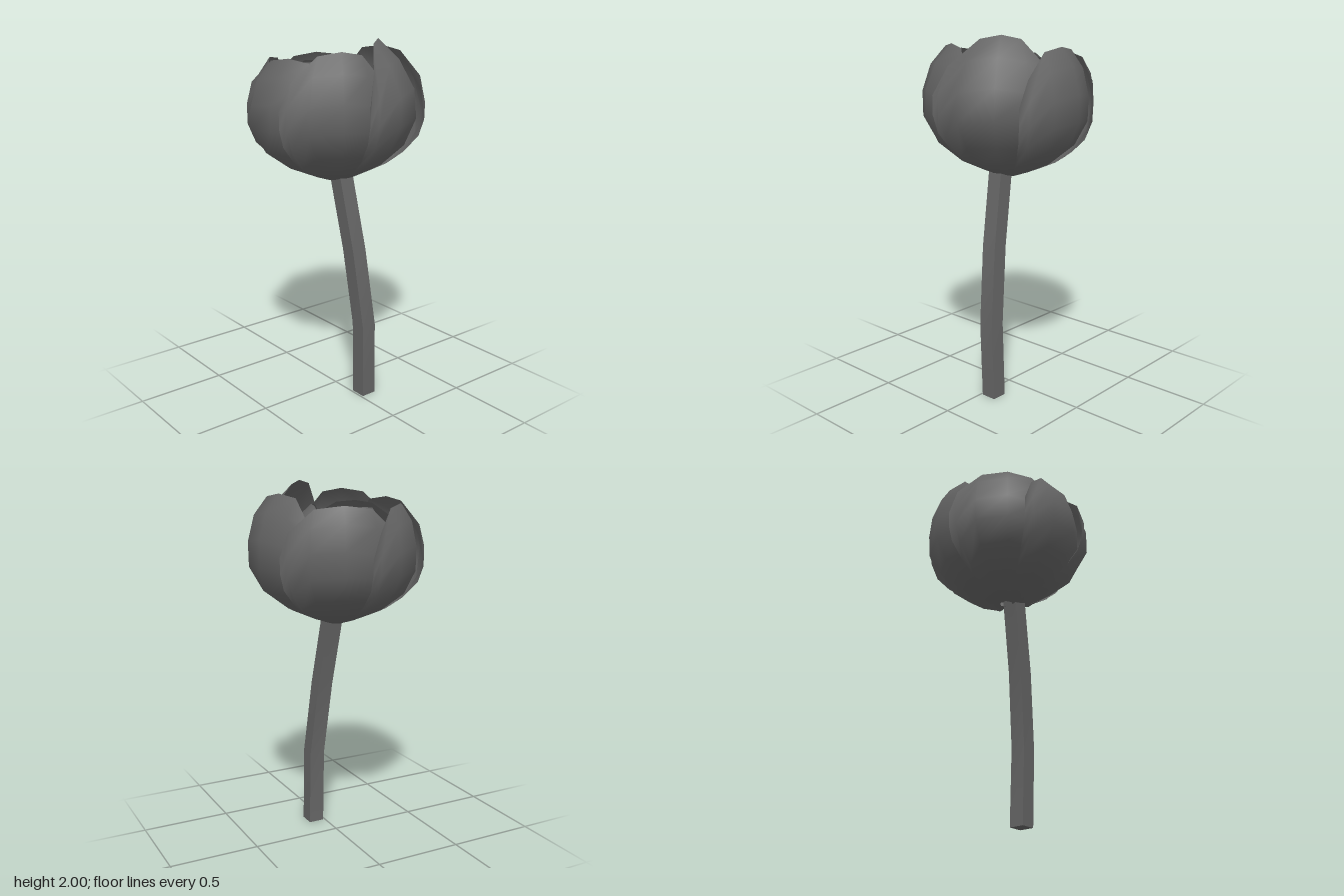
import * as THREE from 'three';

const material = new THREE.MeshStandardMaterial({ color: 0x666666, side: THREE.DoubleSide });
const rad = THREE.MathUtils.degToRad;
const lerp = THREE.MathUtils.lerp;

// Cupped petal: angles run from +x towards +z, the first edge is tucked in,
// the last edge lies outside its neighbour; tip = rim radius / belly radius.
function petal(name, { from, to, r0, r1, tip, top, base = 1.235, drop = 0.33, cx = 0, cz = 0 }) {
  const profile = new THREE.CatmullRomCurve3([
    [0.08, 0], [0.32, 0.055], [0.67, 0.17], [0.96, 0.38], [1, 0.6], [(1 + tip) / 2 + 0.05, 0.84], [tip, 1],
  ].map(([r, y]) => new THREE.Vector3(r, y, 0)));
  const geo = new THREE.PlaneGeometry(2, 1, 6, 7);
  const pos = geo.attributes.position;
  const p = new THREE.Vector3();
  for (let i = 0; i < pos.count; i++) {
    const u = -Math.sin(pos.getX(i) * Math.PI / 2); // finer columns near the rounded sides
    const v = (pos.getY(i) + 0.5) * (1 - drop * Math.abs(u) ** 3.5);
    const t = (u + 1) / 2;
    const angle = rad(lerp(from, to, t));
    profile.getPoint(v, p);
    const r = p.x * lerp(r0, r1, Math.min(1, t * 1.6));
    pos.setXYZ(i, cx * v + r * Math.cos(angle), base + p.y * (top - base), cz * v + r * Math.sin(angle));
  }
  geo.computeVertexNormals();
  const mesh = new THREE.Mesh(geo, material);
  mesh.name = name;
  return mesh;
}

// Square stem bent along a few stations
function stem() {
  const path = [[0.19, 0, -0.055], [0.195, 0.43, -0.045], [0.14, 0.86, -0.018], [0.055, 1.29, 0.01]];
  const geo = new THREE.BoxGeometry(0.088, 3, 0.088, 1, 3, 1);
  const pos = geo.attributes.position;
  for (let i = 0; i < pos.count; i++) {
    const [x, y, z] = path[Math.round(pos.getY(i) + 1.5)];
    pos.setXYZ(i, pos.getX(i) + x, y, pos.getZ(i) + z);
  }
  geo.computeVertexNormals();
  const mesh = new THREE.Mesh(geo, material);
  mesh.name = 'stem';
  return mesh;
}

export function createModel() {
  const model = new THREE.Group();
  model.name = 'flower';
  model.add(stem());

  const bloom = new THREE.Group();
  bloom.name = 'bloom';
  model.add(bloom);

  // Outer petals: from, to, tucked radius, outer radius, tip ratio, top
  [
    [-138, -48, 0.41, 0.475, 0.74, 1.94],
    [-82, 17, 0.39, 0.455, 0.52, 2.0],
    [-8, 75, 0.37, 0.475, 0.68, 1.95],
    [42, 128, 0.39, 0.475, 0.72, 1.91],
    [94, 184, 0.41, 0.46, 0.8, 1.89],
    [157, 246, 0.42, 0.455, 0.84, 1.89],
  ].forEach(([from, to, r0, r1, tip, top]) =>
    bloom.add(petal('outerPetal', { from, to, r0, r1, tip, top })));

  // Inner petals wrapped around the bud
  [
    [85, 234, 0.28, 0.31, 0.62, 1.87],
    [-5, 122, 0.32, 0.37, 0.55, 1.89],
    [-135, 12, 0.28, 0.31, 0.45, 1.88],
    [25, 150, 0.21, 0.23, 0.5, 1.85],
  ].forEach(([from, to, r0, r1, tip, top]) =>
    bloom.add(petal('innerPetal', { from, to, r0, r1, tip, top, base: 1.26, drop: 0.2, cx: -0.01 })));

  // Closed bud in the middle
  for (let i = 0; i < 3; i++) {
    bloom.add(petal('budPetal', {
      from: i * 120 - 30, to: i * 120 + 100, r0: 0.18, r1: 0.19,
      tip: 0, top: 1.83, base: 1.28, drop: 0, cx: -0.03,
    }));
  }
  return model;
}
